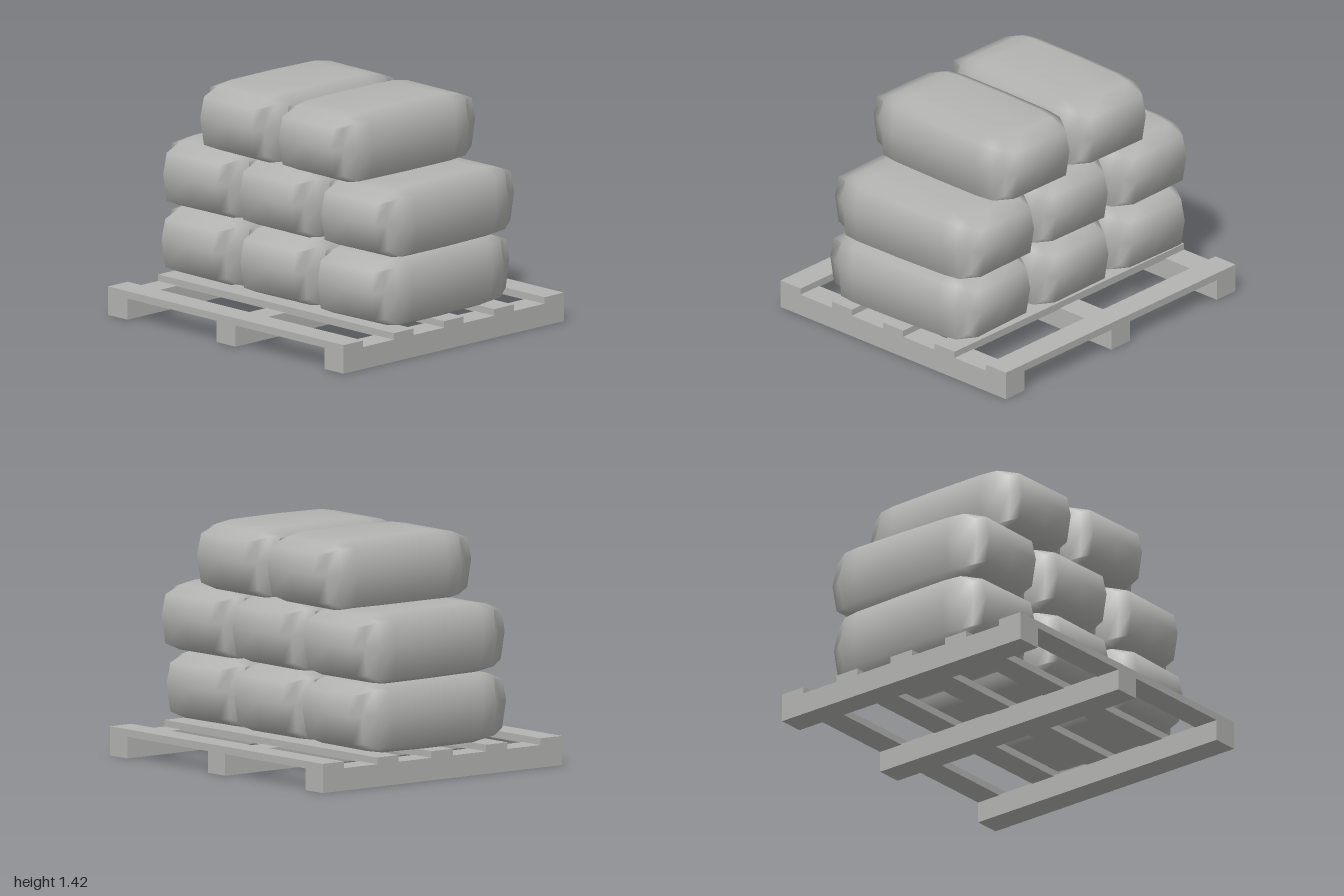
import * as THREE from 'three';
import { mergeVertices } from 'three/addons/utils/BufferGeometryUtils.js';

// Plump sack: a coarse box whose grid points are moved to a rounded, tapered form
function sackGeometry() {
  const box = new THREE.BoxGeometry(4, 2, 6, 4, 2, 6);
  box.deleteAttribute('normal');
  box.deleteAttribute('uv');
  const geo = mergeVertices(box);
  const p = geo.attributes.position;
  const halfX = [0, 0.22, 0.31], halfZ = [0, 0.34, 0.45, 0.565];
  const taperX = [0, 0.005, 0.022, 0.075], dropY = [0, 0.004, 0.022, 0.07];
  for (let n = 0; n < p.count; n++) {
    const u = Math.round(p.getX(n)), v = Math.round(p.getY(n)), w = Math.round(p.getZ(n));
    const i = Math.abs(u), k = Math.abs(w);
    let x = halfX[i], z = halfZ[k];
    if (i === 2) x += (v === 0 ? 0.022 : 0) - taperX[k];
    if (k === 3) z += (v === 0 ? 0.03 : 0) - (i === 2 ? 0.07 : 0);
    const drop = Math.max(dropY[k], i === 2 ? 0.042 : i === 0 ? 0.01 : 0);
    const y = v === 0 ? 0.02 : v * (0.217 - drop);
    p.setXYZ(n, Math.sign(u) * x, y, Math.sign(w) * z);
  }
  geo.computeVertexNormals();
  return geo;
}

export function createModel() {
  const model = new THREE.Group();
  model.name = 'loadedPallet';
  const grey = new THREE.MeshStandardMaterial({ color: 0xb4b4b2 });
  grey.name = 'plain grey';

  const add = (parent, geometry, name, x, y, z) => {
    const mesh = new THREE.Mesh(geometry, grey);
    mesh.name = name;
    mesh.position.set(x, y, z);
    parent.add(mesh);
    return mesh;
  };

  // Pallet: three runners under five deck boards
  const pallet = new THREE.Group();
  pallet.name = 'pallet';
  model.add(pallet);
  const runner = new THREE.BoxGeometry(0.163, 0.135, 1.83);
  for (const x of [-0.9185, 0, 0.9185]) add(pallet, runner, 'runner', x, 0.0675, 0);
  const board = new THREE.BoxGeometry(2, 0.045, 0.163);
  for (const z of [-0.8335, -0.417, 0, 0.417, 0.8335]) add(pallet, board, 'deckBoard', 0, 0.1525, z);

  // Sacks: x, y, z and a slight turn, stacked three, three and two
  const sacks = new THREE.Group();
  sacks.name = 'sackStack';
  model.add(sacks);
  const sack = sackGeometry();
  const places = [
    [-0.667, 0.393, -0.02, -0.02], [0, 0.393, -0.01, 0.015], [0.667, 0.393, 0.01, 0.035],
    [-0.667, 0.805, -0.02, 0.02], [0, 0.805, -0.015, -0.015], [0.667, 0.805, -0.025, 0.025],
    [-0.333, 1.203, -0.015, -0.02], [0.333, 1.203, -0.015, -0.015],
  ];
  for (const [x, y, z, turn] of places) add(sacks, sack, 'sack', x, y, z).rotation.y = turn;

  return model;
}
